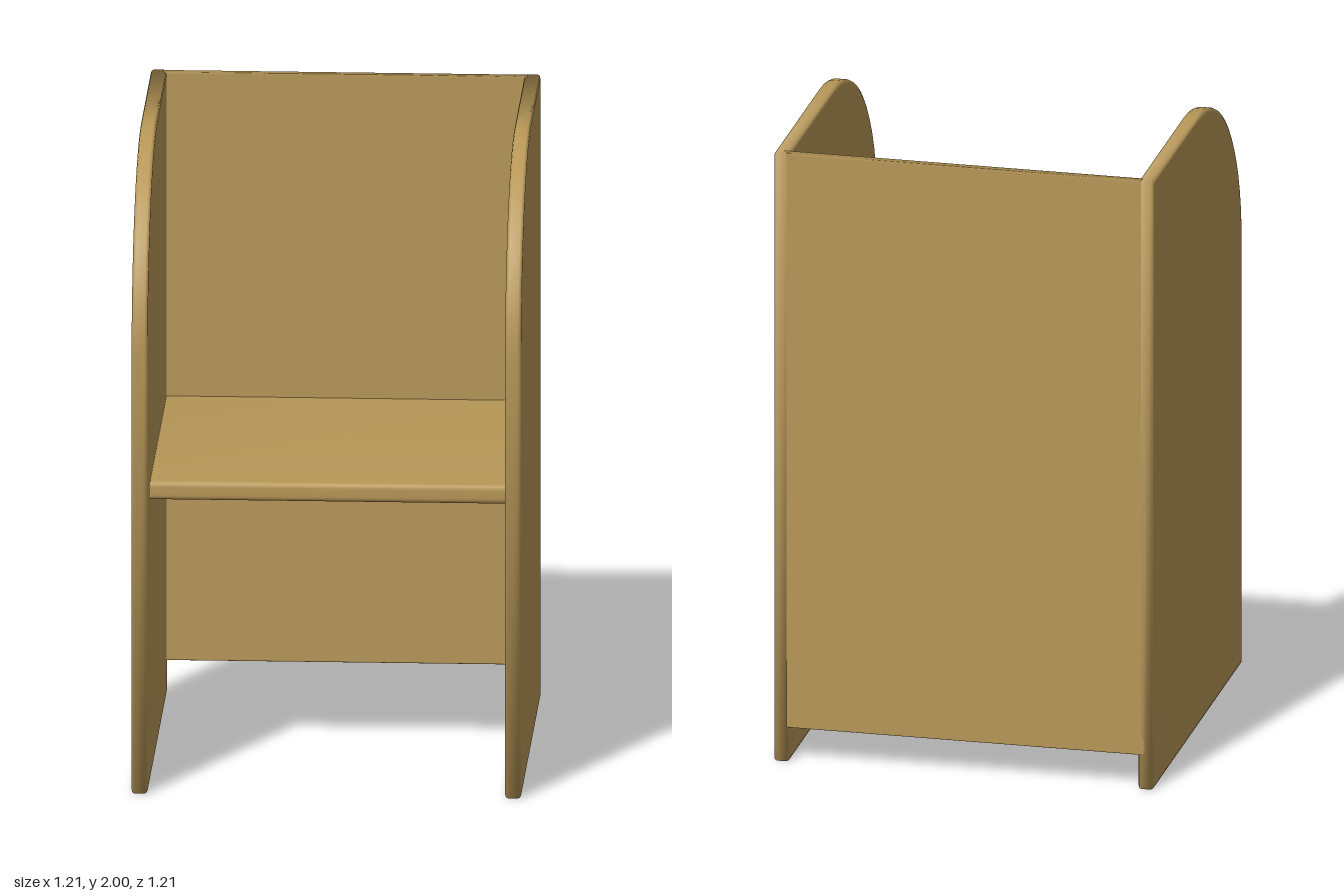
import * as THREE from 'three';
import { mergeVertices } from 'three/addons/utils/BufferGeometryUtils.js';

const wood = new THREE.MeshStandardMaterial({ color: 0xb89858 });
wood.name = 'warm wood';

// Bevelled slab with softly blended edges; outline in x/y, thickness centred on z
function slab(shape, thickness, bevel, curveSegments = 8) {
  const g = new THREE.ExtrudeGeometry(shape, {
    depth: thickness - 2 * bevel, bevelThickness: bevel, bevelSize: bevel,
    bevelOffset: -bevel, bevelSegments: 2, curveSegments,
  });
  g.translate(0, 0, bevel - thickness / 2);
  g.deleteAttribute('uv');
  g.deleteAttribute('normal');
  const merged = mergeVertices(g, 1e-4);
  merged.computeVertexNormals();
  return merged;
}

function rectangle(x0, y0, x1, y1) {
  const s = new THREE.Shape();
  s.moveTo(x0, y0).lineTo(x1, y0).lineTo(x1, y1).lineTo(x0, y1);
  s.closePath();
  return s;
}

export function createModel() {
  const group = new THREE.Group();
  group.name = 'studyCarrel';
  const add = (name, geometry) => {
    const mesh = new THREE.Mesh(geometry, wood);
    mesh.name = name;
    group.add(mesh);
    return mesh;
  };

  // Side walls: tall panels with a rounded upper front corner
  const half = 0.605, radius = 0.6;
  const outline = new THREE.Shape();
  outline.moveTo(-half, 0);
  outline.lineTo(half, 0);
  outline.lineTo(half, 2 - radius);
  outline.absarc(half - radius, 2 - radius, radius, 0, Math.PI / 2, false);
  outline.lineTo(-half, 2);
  outline.closePath();
  for (const [name, side] of [['leftWall', 1], ['rightWall', -1]]) {
    const wall = slab(outline, 0.05, 0.01);
    wall.rotateY(-Math.PI / 2);
    add(name, wall).position.x = side * 0.58;
  }

  // Back panel, raised off the floor between the walls
  add('backPanel', slab(rectangle(-0.585, 0.11, 0.585, 2), 0.03, 0.005)).position.z = -0.59;

  // Desk shelf with a rounded front edge, laid across the walls
  const z0 = -0.59, z1 = 0.445, y0 = 0.9, y1 = 0.96, r = 0.018;
  const profile = new THREE.Shape();
  profile.moveTo(z0, y0);
  profile.lineTo(z1 - r, y0);
  profile.quadraticCurveTo(z1, y0, z1, y0 + r);
  profile.lineTo(z1, y1 - r);
  profile.quadraticCurveTo(z1, y1, z1 - r, y1);
  profile.lineTo(z0, y1);
  profile.closePath();
  const desk = slab(profile, 1.14, 0.005, 4);
  desk.rotateY(-Math.PI / 2);
  add('deskShelf', desk);

  return group;
}
